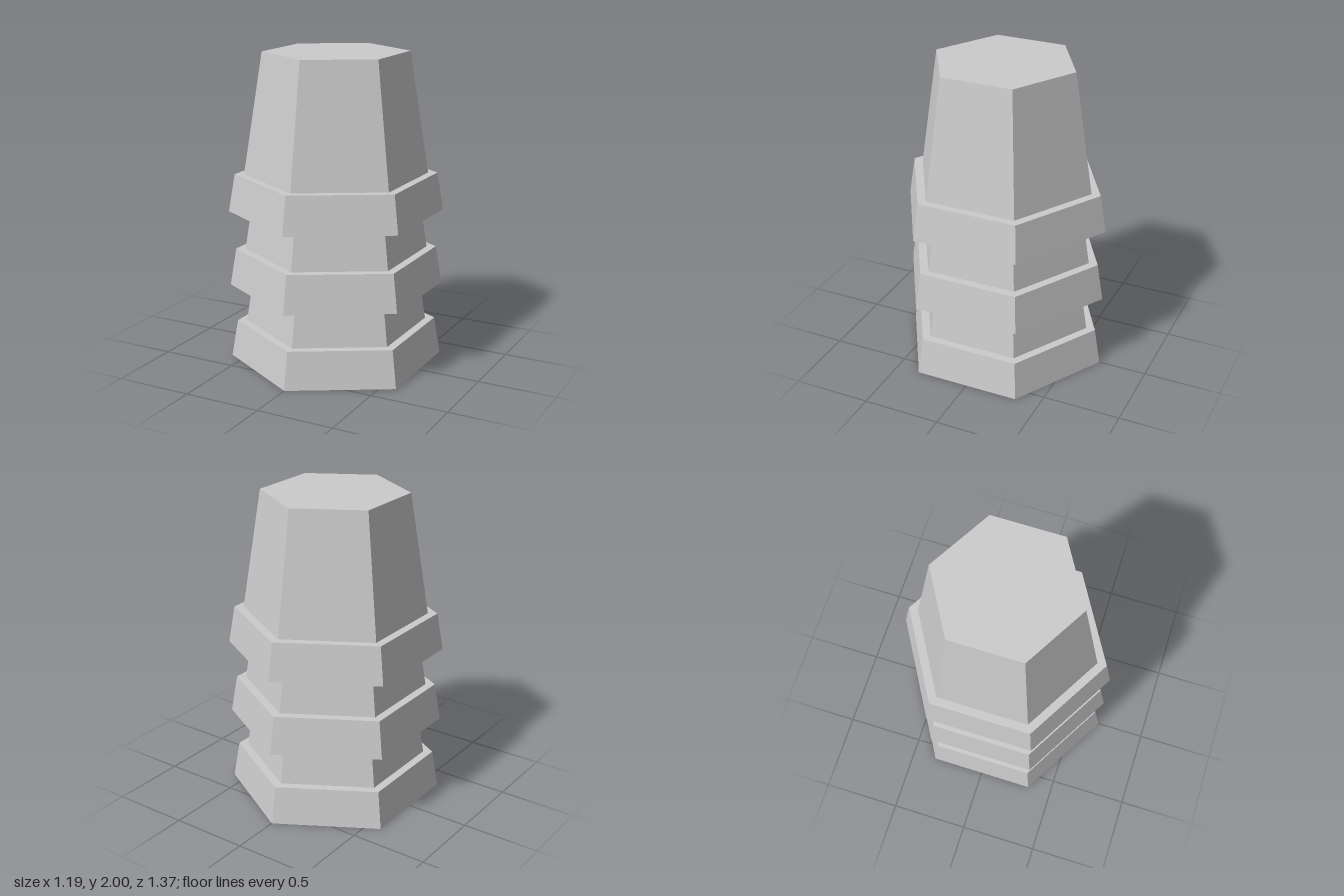
import * as THREE from 'three';

// Stack of three upturned, nested hexagonal cups
export function createModel() {
  const group = new THREE.Group();
  group.name = 'cupStack';
  const material = new THREE.MeshStandardMaterial({ color: 0xcccccc, flatShading: true });

  // Cup profile: inner ceiling, inner wall, rim, tapered body, closed top
  const profile = [
    [0, 0.95], [0.39, 0.95], [0.54, 0],
    [0.686, 0], [0.645, 0.242], [0.585, 0.242],
    [0.461, 1.018], [0, 1.018],
  ].map(([r, y]) => new THREE.Vector2(r, y));

  // Six sides, with corners on the z axis
  const cupGeometry = new THREE.LatheGeometry(profile, 6).toNonIndexed();
  cupGeometry.computeVertexNormals();

  ['bottomCup', 'middleCup', 'topCup'].forEach((name, i) => {
    const cup = new THREE.Mesh(cupGeometry, material);
    cup.name = name;
    cup.position.y = i * 0.491;
    group.add(cup);
  });
  return group;
}
